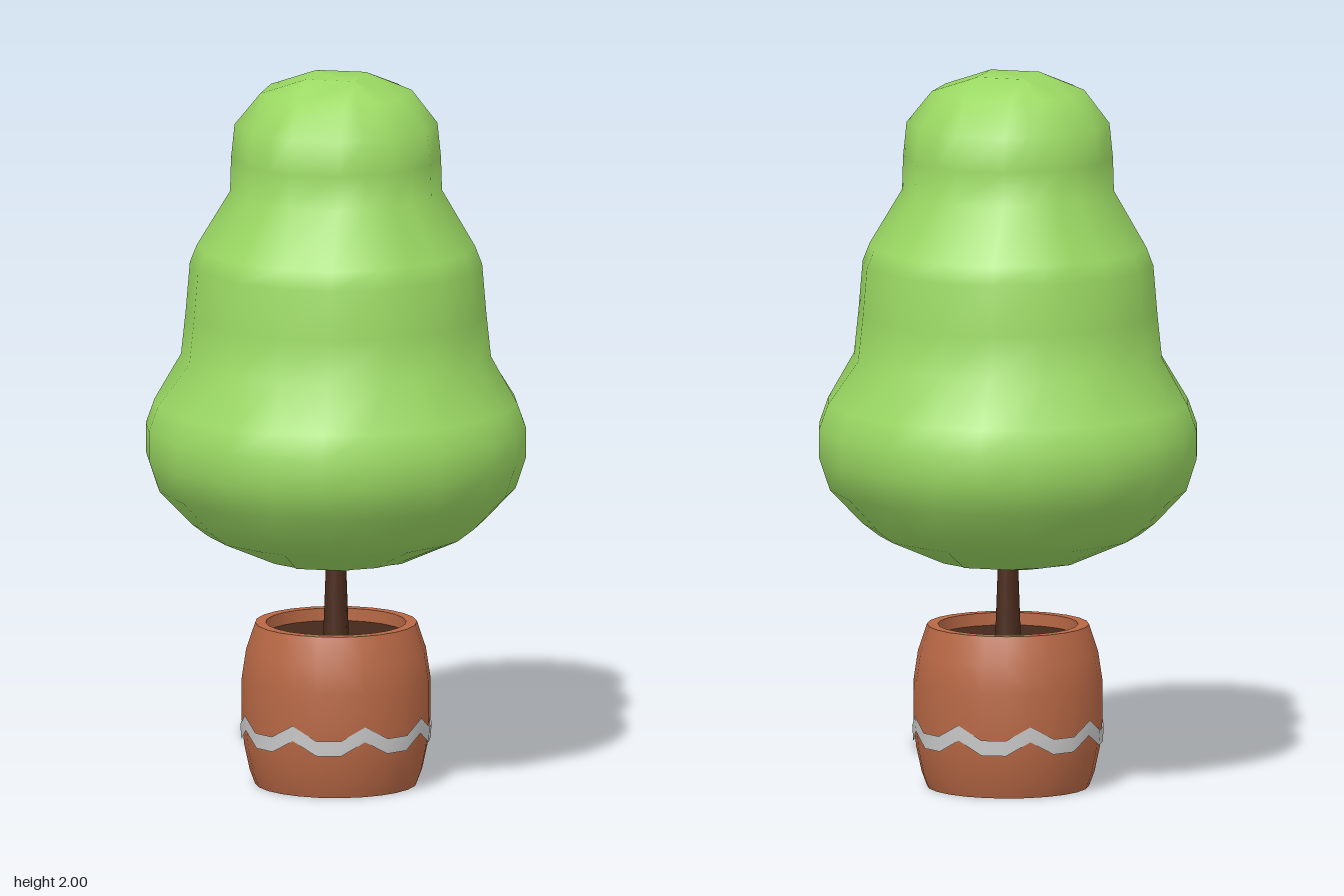
import * as THREE from 'three';

const mat = (color, side = THREE.FrontSide) => new THREE.MeshStandardMaterial({ color, side });

function add(parent, name, geometry, material, y = 0) {
  const mesh = new THREE.Mesh(geometry, material);
  mesh.name = name;
  mesh.position.y = y;
  parent.add(mesh);
}

// Indexed surface over rings of equal length, listed from bottom to top
function loft(rings, capped) {
  const n = rings[0].length;
  const positions = rings.flat(2);
  const index = [];
  for (let j = 0; j < rings.length - 1; j++) {
    for (let i = 0; i < n; i++) {
      const a = j * n + i, b = j * n + (i + 1) % n;
      index.push(a, b, b + n, a, b + n, a + n);
    }
  }
  if (capped) {
    const top = (rings.length - 1) * n;
    for (let i = 1; i < n - 1; i++) {
      index.push(0, i + 1, i);
      index.push(top, top + i, top + i + 1);
    }
  }
  const geometry = new THREE.BufferGeometry();
  geometry.setAttribute('position', new THREE.Float32BufferAttribute(positions, 3));
  geometry.setIndex(index);
  geometry.computeVertexNormals();
  return geometry;
}

// Rounded polygon of 20 corners with four narrow flats;
// a, b and c place the corners between the flats
function foliageRing(y, r, [a, b, c]) {
  const flat = 0.07, s = (v) => Math.max(v * r, flat);
  const quarter = [[flat, r], [s(a), s(b)], [s(c), s(c)], [s(b), s(a)], [r, flat]];
  const ring = [];
  for (let q = 0; q < 4; q++) {
    for (const [x, z] of quarter) {
      ring.push([[x, y, z], [z, y, -x], [-x, y, -z], [-z, y, x]][q]);
    }
  }
  return ring;
}

export function createModel() {
  const model = new THREE.Group();
  model.name = 'pottedTree';

  // Foliage: three swelling tiers in one smooth skin
  const low = [0.38, 0.93, 0.715], mid = [0.52, 0.868, 0.694], high = [0.49, 0.86, 0.725];
  const tiers = [
    [0.62, 0.07, low], [0.64, 0.2, low], [0.71, 0.36, low], [0.745, 0.405, low],
    [0.84, 0.495, low], [0.93, 0.525, low], [1.01, 0.525, low], [1.08, 0.5, low],
    [1.21, 0.425, mid], [1.33, 0.412, mid], [1.47, 0.4, mid], [1.52, 0.38, mid],
    [1.675, 0.286, high], [1.77, 0.283, high], [1.865, 0.273, high],
    [1.955, 0.2, high], [2, 0.07, high],
  ];
  add(model, 'foliage', loft(tiers.map((t) => foliageRing(...t)), true), mat(0x9bd963));

  // Trunk
  add(model, 'trunk', new THREE.CylinderGeometry(0.026, 0.037, 0.3, 10), mat(0x4a2a1c), 0.53);

  // Pot: bulging wall, flat rim, inner wall and base
  const pot = new THREE.Group();
  pot.name = 'pot';
  model.add(pot);
  const clay = mat(0xb86845);
  const lathe = (pts) => new THREE.LatheGeometry(pts.map((p) => new THREE.Vector2(...p)), 24);
  add(pot, 'potWall', lathe([[0.225, 0], [0.24, 0.04], [0.255, 0.11], [0.262, 0.18],
    [0.262, 0.3], [0.25, 0.38], [0.225, 0.455]]), clay);
  add(pot, 'potRim', lathe([[0.225, 0.455], [0.195, 0.455]]), clay);
  add(pot, 'potInside', lathe([[0.195, 0.455], [0.195, 0.4]]), clay);
  const base = new THREE.CircleGeometry(0.225, 24).rotateX(Math.PI / 2);
  add(pot, 'potBase', base, clay);
  const soil = new THREE.CircleGeometry(0.196, 24).rotateX(-Math.PI / 2);
  add(pot, 'soil', soil, mat(0x45281b), 0.42);

  // Zigzag band: eight peaks, one at every third corner of the wall
  const bandRing = (y, r) => Array.from({ length: 24 }, (_, i) => {
    const angle = i * Math.PI / 12;
    const lift = i % 3 === 2 ? 0.038 : 0;
    return [r * Math.sin(angle), y + lift, r * Math.cos(angle)];
  });
  add(pot, 'zigzagBand', loft([bandRing(0.125, 0.263), bandRing(0.168, 0.266)], false),
    mat(0xcccccc, THREE.DoubleSide));

  return model;
}
